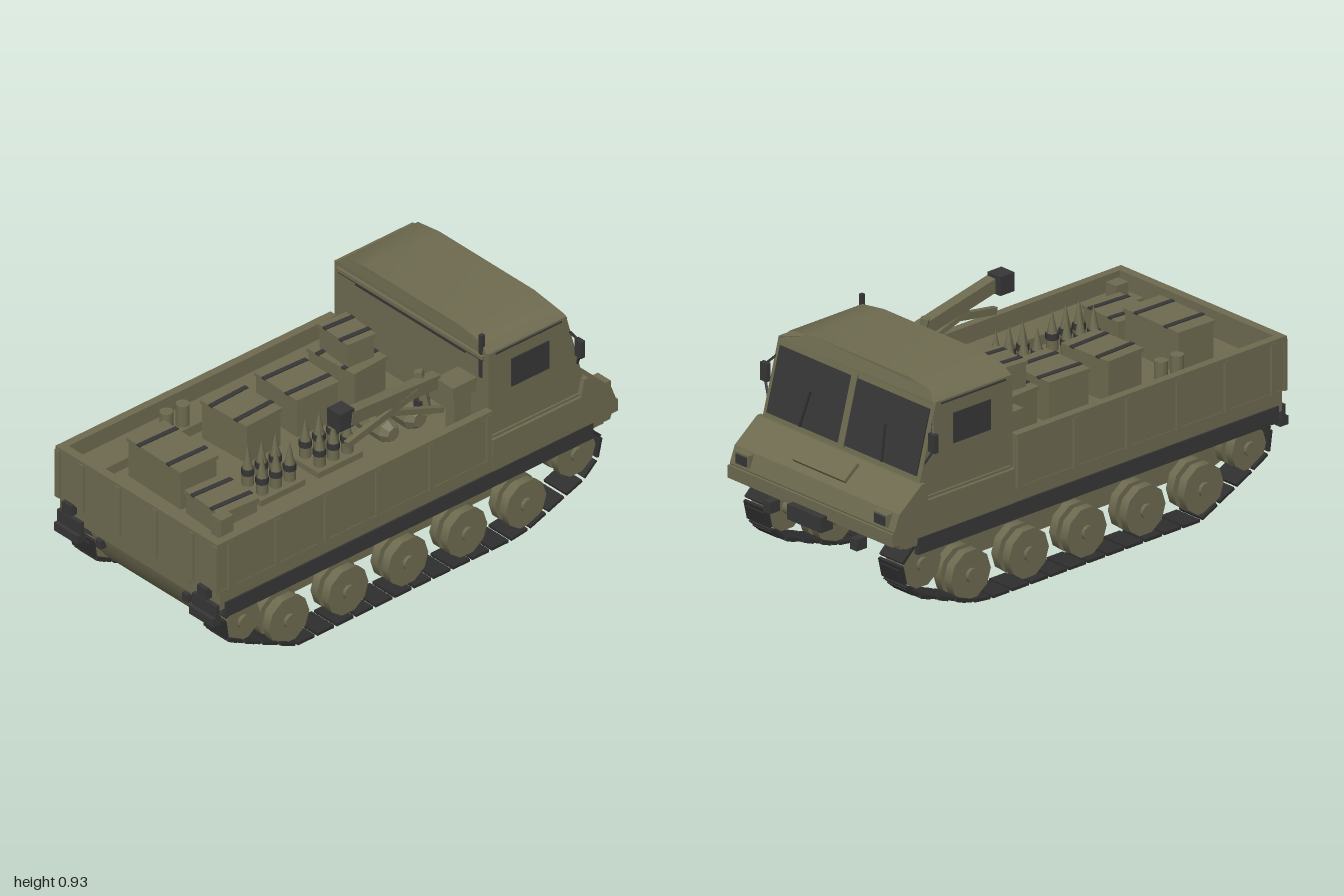
import * as THREE from 'three';
import { toCreasedNormals } from 'three/addons/utils/BufferGeometryUtils.js';

const mat = (name, color) => Object.assign(new THREE.MeshStandardMaterial({ color }), { name });

export function createModel() {
  const root = new THREE.Group();
  root.name = 'trackedCarrier';
  const olive = mat('olive', 0x6d6a4f);
  const dark = mat('charcoal', 0x363637);
  const rubber = mat('trackBlack', 0x2e2e2f);

  const add = (name, geo, m, parent = root) => {
    const mesh = new THREE.Mesh(geo, m);
    mesh.name = name;
    parent.add(mesh);
    return mesh;
  };
  // box given by its extents on each axis
  const box = (name, m, x0, x1, y0, y1, z0, z1, parent = root) => {
    const b = add(name, new THREE.BoxGeometry(x1 - x0, y1 - y0, z1 - z0), m, parent);
    b.position.set((x0 + x1) / 2, (y0 + y1) / 2, (z0 + z1) / 2);
    return b;
  };
  // same box on both sides of the vehicle
  const pair = (name, m, x0, x1, ...r) => {
    box(name, m, x0, x1, ...r);
    box(name, m, -x1, -x0, ...r);
  };
  // side profile of [z, y] points, extruded across the vehicle
  const across = (name, m, pts, width, crease = 0.1) => {
    const g = new THREE.ExtrudeGeometry(new THREE.Shape(pts.map(p => new THREE.Vector2(...p))),
      { depth: width, bevelEnabled: false });
    g.translate(0, 0, -width / 2).rotateY(-Math.PI / 2);
    return add(name, toCreasedNormals(g, crease), m);
  };
  // square beam between two points
  const beam = (name, m, a, b, w, h = w) => {
    const p = new THREE.Vector3(...a), q = new THREE.Vector3(...b);
    const s = add(name, new THREE.BoxGeometry(w, h, p.distanceTo(q)), m);
    s.position.copy(p).lerp(q, 0.5);
    s.lookAt(q);
    return s;
  };

  // hull with a rounded tail, fender deck and skirts
  across('hull', olive, [[0.95, 0.36], [0.948, 0.32], [0.915, 0.235], [0.86, 0.165], [0.77, 0.135],
    [-0.6, 0.135], [-0.92, 0.36]], 0.585, 0.7);
  box('deck', olive, -0.437, 0.437, 0.337, 0.42, -0.9, 0.968);
  pair('skirt', dark, 0.425, 0.444, 0.3, 0.365, -0.845, 0.945);
  box('rearBar', olive, -0.28, 0.28, 0.38, 0.41, 0.965, 0.975);
  pair('mudflap', dark, 0.305, 0.435, 0.308, 0.36, 0.968, 0.985);
  pair('mudflapFoot', dark, 0.305, 0.435, 0.275, 0.31, 0.96, 1);
  pair('tailLight', dark, 0.345, 0.395, 0.375, 0.42, 0.965, 0.997);
  pair('rearHook', dark, 0.222, 0.253, 0.275, 0.31, 0.92, 0.96);

  // cargo bed walls, rim and ribs
  pair('bedSide', olive, 0.415, 0.435, 0.415, 0.625, -0.355, 0.98);
  box('tailgate', olive, -0.435, 0.435, 0.415, 0.625, 0.955, 0.98);
  pair('sideRim', olive, 0.41, 0.443, 0.615, 0.632, -0.355, 0.985);
  box('tailRim', olive, -0.443, 0.443, 0.615, 0.632, 0.95, 0.985);
  const floor = 0.52;
  box('bedFloor', olive, -0.42, 0.42, 0.42, floor, -0.36, 0.96);
  pair('bedBench', olive, 0.29, 0.416, floor, 0.56, -0.355, 0.956);
  for (const z of [0.92, 0.69, 0.45, 0.2, -0.06, -0.34])
    pair('sideRib', olive, 0.43, 0.445, 0.415, 0.62, z - 0.011, z + 0.011);
  for (const x of [0.1, 0.3, 0.43]) pair('tailRib', olive, x - 0.012, x + 0.012, 0.415, 0.62, 0.975, 0.989);

  // cab
  across('cab', olive, [[-0.355, 0.42], [-0.355, 0.865], [-0.735, 0.865], [-0.815, 0.57], [-0.815, 0.42]], 0.84);
  across('nose', olive, [[-0.36, 0.35], [-0.36, 0.5], [-0.79, 0.5], [-0.805, 0.57], [-0.825, 0.57],
    [-0.935, 0.485], [-0.96, 0.42], [-0.93, 0.345]], 0.88);
  const roofHalf = [[0.42, 0.858], [0.405, 0.867], [0.375, 0.895], [0.26, 0.911]];
  const roofPts = [...roofHalf, ...roofHalf.map(([x, y]) => [-x, y]).reverse()];
  const roofGeo = new THREE.ExtrudeGeometry(new THREE.Shape(roofPts.map(p => new THREE.Vector2(...p))),
    { depth: 0.385, bevelEnabled: false });
  roofGeo.translate(0, 0, -0.74);
  const rp = roofGeo.attributes.position;
  for (let i = 0; i < rp.count; i++) // lean the roof ends inward
    if (rp.getY(i) > 0.87) rp.setZ(i, rp.getZ(i) < -0.5 ? -0.72 : -0.362);
  add('roof', toCreasedNormals(roofGeo, 0.7), olive);
  pair('roofGutter', dark, 0.415, 0.424, 0.852, 0.858, -0.71, -0.39);
  box('rearVent', dark, -0.3, 0.3, 0.818, 0.834, -0.358, -0.347);
  pair('rearVentEnd', dark, 0.3, 0.395, 0.826, 0.836, -0.358, -0.348);
  box('rearVentRail', olive, -0.4, 0.4, 0.836, 0.85, -0.358, -0.342);
  pair('sideWindow', dark, 0.418, 0.424, 0.68, 0.8, -0.65, -0.465);
  pair('doorSill', olive, 0.415, 0.428, 0.5, 0.51, -0.8, -0.37);

  // windscreen panes, divider and wipers lying on the sloped face
  const screen = new THREE.Group();
  screen.name = 'windscreen';
  screen.position.set(0, 0.715, -0.777);
  screen.rotation.x = 0.265;
  root.add(screen);
  for (const s of [-1, 1]) {
    const pane = s > 0 ? [0.015, 0.4] : [-0.4, -0.015];
    box('windscreenPane', dark, ...pane, -0.13, 0.125, -0.005, 0.004, screen);
    box('wiper', rubber, s * 0.21 - 0.004, s * 0.21 + 0.004, -0.13, 0.01, -0.012, -0.005, screen).rotation.z = s * 0.14;
  }
  box('windscreenDivider', olive, -0.015, 0.015, -0.14, 0.14, -0.008, 0.004, screen);

  // nose fittings
  const hatch = box('hoodHatch', olive, -0.14, 0.14, 0.535, 0.55, -0.935, -0.85);
  hatch.rotation.x = -0.66;
  pair('headlightHousing', olive, 0.335, 0.405, 0.43, 0.48, -0.965, -0.92);
  pair('headlight', dark, 0.342, 0.398, 0.437, 0.473, -0.971, -0.962);
  box('bumper', olive, -0.44, 0.44, 0.365, 0.415, -0.97, -0.91);
  box('winch', dark, -0.09, 0.09, 0.32, 0.38, -1, -0.94);
  pair('frontHook', dark, 0.215, 0.25, 0.29, 0.335, -0.97, -0.92);

  // mirrors and antenna
  for (const s of [-1, 1]) {
    box('mirror', dark, s * 0.449 - 0.018, s * 0.449 + 0.018, 0.69, 0.762, -0.785, -0.765);
    beam('mirrorArm', dark, [s * 0.415, 0.795, -0.75], [s * 0.45, 0.755, -0.775], 0.008);
    beam('mirrorArm', dark, [s * 0.415, 0.635, -0.79], [s * 0.45, 0.695, -0.775], 0.008);
  }
  box('antenna', dark, 0.373, 0.389, 0.75, 0.932, -0.366, -0.35);

  // running gear: twin-disc wheels and a loop of track pads on each side
  const wheels = [0.605, 0.317, 0.025, -0.262, -0.55].map(z => [z, 0.125, 0.099]);
  wheels.push([0.83, 0.22, 0.085], [-0.793, 0.24, 0.095]);
  const loop = new THREE.Path([[0.58, 0.013], [-0.52, 0.013], [-0.85, 0.135], [-0.905, 0.21], [-0.905, 0.28],
    [-0.85, 0.33], [0.88, 0.325], [0.93, 0.28], [0.915, 0.175]].map(p => new THREE.Vector2(...p)));
  loop.closePath();
  const pads = 42, pts = loop.getSpacedPoints(pads);
  for (const s of [-1, 1]) {
    const x = s * 0.36;
    const disc = (name, r, width, dx, y, z) =>
      add(name, new THREE.CylinderGeometry(r, r, width, 10).rotateZ(Math.PI / 2), olive).position.set(x + s * dx, y, z);
    for (const [z, y, r] of wheels) {
      disc('wheel', r, 0.036, 0.03, y, z);
      disc('wheel', r, 0.036, -0.03, y, z);
      disc('wheelCore', r * 0.75, 0.04, 0, y, z);
      disc('wheelHub', 0.028, 0.016, 0.054, y, z);
      disc('axle', 0.028, 0.03, -0.056, y, z);
    }
    for (let i = 0; i < pads; i++) {
      const a = pts[i], b = pts[(i + 1) % pads];
      const pad = beam('trackPad', rubber, [x, a.y, a.x], [x, b.y, b.x], 0.124, 0.012);
      pad.scale.z = 0.86;
      const lug = add('trackLug', new THREE.BoxGeometry(0.1, 0.008, 0.055), rubber, pad);
      lug.position.y = -0.008;
    }
  }

  // crates with strapped lids: x, z, width, depth, bottom, top, turn
  const crates = [
    [-0.14, -0.165, 0.245, 0.17, floor, 0.685, 0.06], [-0.14, -0.165, 0.18, 0.13, 0.685, 0.788, -0.08],
    [-0.14, 0.08, 0.245, 0.2, floor, 0.685, -0.04], [-0.14, 0.35, 0.245, 0.18, floor, 0.685, 0.04],
    [-0.095, 0.725, 0.305, 0.18, floor, 0.685, -0.03], [0.185, 0.735, 0.21, 0.18, floor, 0.62, -0.06]];
  for (const [x, z, w, d, y0, y1, turn] of crates) {
    const g = new THREE.Group();
    g.name = 'crate';
    g.position.set(x, y0, z);
    g.rotation.y = turn;
    root.add(g);
    const h = y1 - y0, a = w / 2, b = d / 2;
    box('crateBody', olive, -a + 0.005, a - 0.005, 0, h - 0.012, -b + 0.005, b - 0.005, g);
    box('crateLid', olive, -a, a, h - 0.015, h, -b, b, g);
    for (const s of [-0.27, 0.27])
      box('crateStrap', dark, s * w - 0.01, s * w + 0.01, h - 0.004, h + 0.004, -b - 0.002, b + 0.002, g);
  }

  // trays of upright pointed shells
  for (const z0 of [0.195, 0.475]) {
    box('shellTray', olive, 0.065, 0.23, floor, 0.545, z0 - 0.108, z0 + 0.108);
    for (const x of [0.112, 0.19]) for (const k of [-1, 0, 1]) {
      const z = z0 + k * 0.067;
      add('shellBody', new THREE.CylinderGeometry(0.023, 0.023, 0.065, 8), olive).position.set(x, 0.572, z);
      add('shellBand', new THREE.CylinderGeometry(0.025, 0.025, 0.025, 8), dark).position.set(x, 0.602, z);
      add('shellTip', new THREE.ConeGeometry(0.021, 0.1, 8), olive).position.set(x, 0.66, z);
    }
  }

  // lying drums, canisters and small boxes
  for (const [z, r] of [[-0.18, 0.053], [-0.05, 0.046]]) {
    const prof = [[0, -0.1], [r * 0.6, -0.1], [r, -0.07], [r, 0.07], [r * 0.6, 0.1], [0, 0.1]];
    const drum = new THREE.LatheGeometry(prof.map(p => new THREE.Vector2(...p)), 8).toNonIndexed();
    drum.computeVertexNormals();
    add('drum', drum.rotateZ(Math.PI / 2), olive).position.set(0.145, floor + r, z);
  }
  for (const z of [0.47, 0.55])
    add('canister', new THREE.CylinderGeometry(0.026, 0.026, 0.09, 12), olive).position.set(-0.325, 0.605, z);
  box('smallBox', olive, 0.29, 0.345, 0.56, 0.645, 0.82, 0.88);
  box('smallBox', olive, -0.35, -0.3, 0.56, 0.675, -0.34, -0.235);

  // loading crane
  box('cranePost', olive, 0.325, 0.375, floor, 0.72, -0.31, -0.23);
  box('craneTurret', olive, 0.29, 0.39, 0.71, 0.765, -0.325, -0.21);
  beam('craneBoom', olive, [0.283, 0.75, -0.22], [0.33, 0.815, 0.25], 0.045, 0.055);
  beam('craneLowerArm', olive, [0.335, 0.7, 0.26], [0.31, 0.765, -0.1], 0.022, 0.028);
  beam('craneStrut', olive, [0.32, 0.64, -0.22], [0.31, 0.755, 0.1], 0.022);
  beam('craneLink', olive, [0.268, 0.81, -0.15], [0.295, 0.63, -0.17], 0.03, 0.03);
  box('craneHead', dark, 0.28, 0.35, 0.78, 0.855, 0.235, 0.305);
  box('craneCylinder', dark, 0.257, 0.292, 0.645, 0.69, -0.185, -0.135);
  return root;
}
